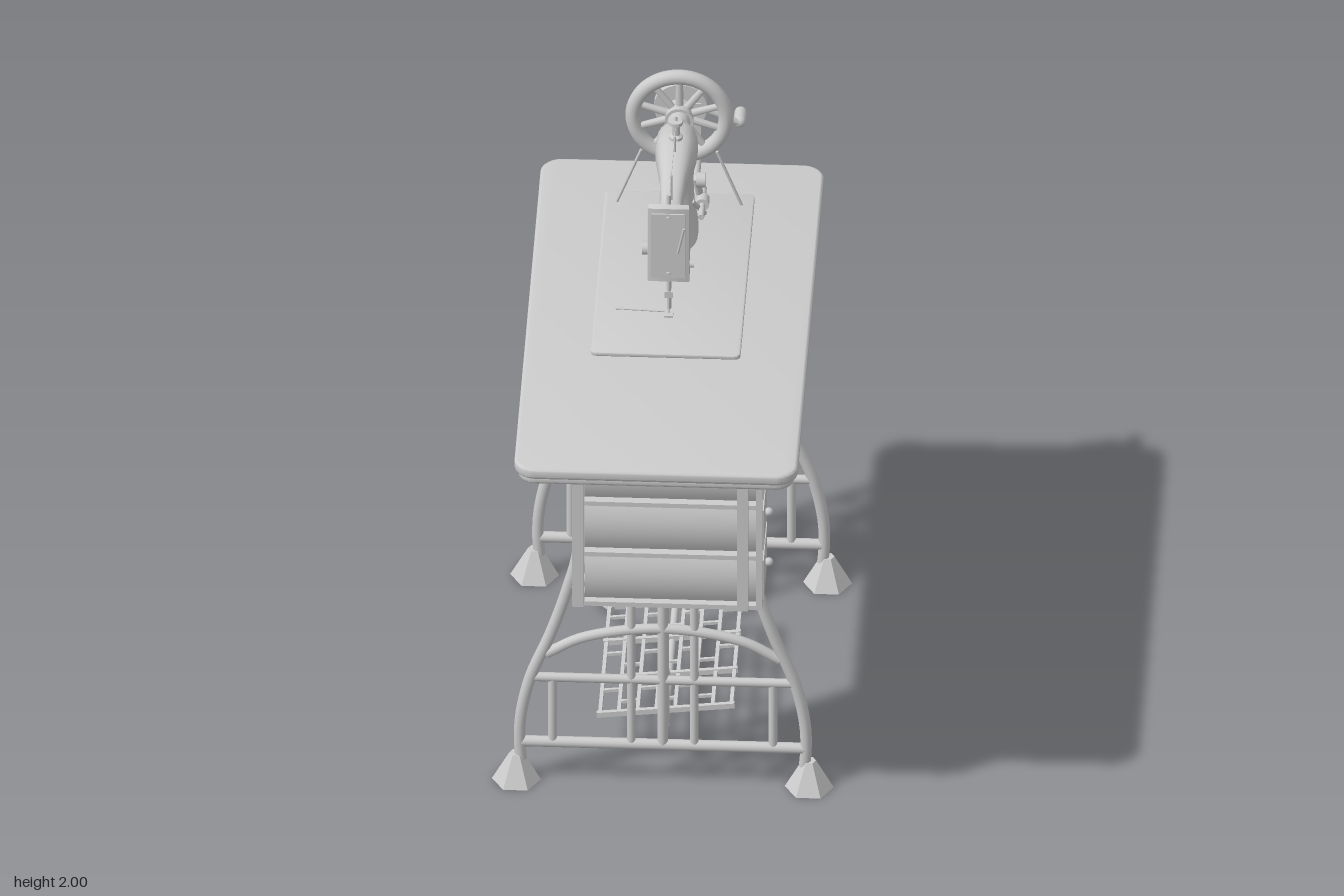
import * as THREE from 'three';
import { toCreasedNormals } from 'three/addons/utils/BufferGeometryUtils.js';

const grey = new THREE.MeshStandardMaterial({ color: 0xcccccc, side: THREE.DoubleSide });
const V = (x, y, z) => new THREE.Vector3(x, y, z);

function add(parent, name, geometry, x = 0, y = 0, z = 0) {
  const mesh = new THREE.Mesh(geometry, grey);
  mesh.name = name;
  mesh.position.set(x, y, z);
  parent.add(mesh);
  return mesh;
}
function group(parent, name, x = 0, y = 0, z = 0) {
  const g = new THREE.Group();
  g.name = name;
  g.position.set(x, y, z);
  parent.add(g);
  return g;
}
const box = (p, name, w, h, d, x, y, z) => add(p, name, new THREE.BoxGeometry(w, h, d), x, y, z);

// Straight round bar between two points, optionally tapered
function rod(p, name, a, b, r, r2 = r, sides = 12) {
  const A = V(...a), B = V(...b), dir = B.clone().sub(A);
  const m = add(p, name, new THREE.CylinderGeometry(r2, r, dir.length(), sides));
  m.position.copy(A).add(B).multiplyScalar(0.5);
  m.quaternion.setFromUnitVectors(V(0, 1, 0), dir.normalize());
  return m;
}
// Bent round bar through points
function pipe(p, name, pts, r, seg = 32) {
  const curve = new THREE.CatmullRomCurve3(pts.map(q => V(...q)), false, 'centripetal');
  return add(p, name, new THREE.TubeGeometry(curve, seg, r, 10));
}
// Flat slab with rounded corners, lying on y
function slab(p, name, w, d, h, radius, x, y, z, bevel) {
  const s = new THREE.Shape(), a = w / 2 - bevel, b = d / 2 - bevel, r = radius;
  s.moveTo(-a + r, -b);
  s.lineTo(a - r, -b).absarc(a - r, -b + r, r, -Math.PI / 2, 0);
  s.lineTo(a, b - r).absarc(a - r, b - r, r, 0, Math.PI / 2);
  s.lineTo(-a + r, b).absarc(-a + r, b - r, r, Math.PI / 2, Math.PI);
  s.lineTo(-a, -b + r).absarc(-a + r, -b + r, r, Math.PI, Math.PI * 1.5);
  const g = new THREE.ExtrudeGeometry(s, { depth: h - 2 * bevel, bevelSize: bevel, bevelThickness: bevel, bevelSegments: 3, curveSegments: 8 });
  g.rotateX(-Math.PI / 2).translate(0, bevel, 0);
  return add(p, name, toCreasedNormals(g, 0.6), x, y, z);
}
// Skin over superellipse sections; place(section, u, v) returns a point
function loft(p, name, sections, place, n = 24) {
  const pos = [], idx = [], last = sections.length - 1;
  for (const s of sections) for (let j = 0; j < n; j++) {
    const a = j / n * Math.PI * 2, c = Math.cos(a), d = Math.sin(a);
    pos.push(...place(s, Math.sign(c) * Math.abs(c) ** 0.75, Math.sign(d) * Math.abs(d) ** 0.75));
  }
  for (let k = 0; k < last; k++) for (let j = 0; j < n; j++) {
    const a = k * n + j, b = k * n + (j + 1) % n;
    idx.push(a, b, b + n, a, b + n, a + n);
  }
  for (let j = 1; j < n - 1; j++) idx.push(0, j + 1, j, last * n, last * n + j, last * n + j + 1);
  const g = new THREE.BufferGeometry();
  g.setAttribute('position', new THREE.Float32BufferAttribute(pos, 3));
  g.setIndex(idx);
  return add(p, name, toCreasedNormals(g, 0.8));
}
// Spoked wheel in the xy plane
function wheel(p, name, R, tube, spokes, hub, depth, x, y, z) {
  const g = group(p, name, x, y, z);
  add(g, 'rim', new THREE.TorusGeometry(R, tube, 12, 56));
  rod(g, 'hub', [0, 0, -depth], [0, 0, depth], hub, hub, 20);
  for (let i = 0; i < spokes; i++) {
    const a = (i + 0.5) / spokes * Math.PI * 2, c = Math.cos(a), s = Math.sin(a);
    rod(g, 'spoke', [c * hub * 0.8, s * hub * 0.8, 0], [c * R, s * R, 0], tube * 0.55, tube * 0.45, 8);
  }
  return g;
}

function trestle(root, z) {
  const g = group(root, 'trestle', 0, 0, z);
  for (const s of [-1, 1]) {
    pipe(g, 'leg', [[s * 0.265, 1.44, 0], [s * 0.265, 1.1, 0], [s * 0.27, 0.87, 0], [s * 0.305, 0.72, 0], [s * 0.355, 0.56, 0], [s * 0.42, 0.39, 0], [s * 0.45, 0.25, 0], [s * 0.455, 0.15, 0], [s * 0.45, 0.08, 0]], 0.019, 40);
    const foot = new THREE.CylinderGeometry(0.022, 0.078, 0.1, 6).toNonIndexed();
    foot.computeVertexNormals();
    foot.rotateY(Math.PI / 6 * 3);
    add(g, 'foot', foot, s * 0.465, 0.05, 0);
    rod(g, 'upright', [s * 0.1, 0.15, 0], [s * 0.1, 1.44, 0], 0.014);
    rod(g, 'shortUpright', [s * 0.35, 0.15, 0], [s * 0.35, 0.39, 0], 0.014);
  }
  rod(g, 'centrePost', [0, 0.14, 0], [0, 0.83, 0], 0.017);
  rod(g, 'bottomRail', [-0.45, 0.145, 0], [0.45, 0.145, 0], 0.018);
  rod(g, 'middleRail', [-0.42, 0.39, 0], [0.42, 0.39, 0], 0.015);
  for (const y of [1.295, 1.02]) rod(g, 'upperRail', [-0.265, y, 0], [0.265, y, 0], 0.014);
  pipe(g, 'lowerArch', [[-0.37, 0.48, 0], [-0.25, 0.545, 0], [0, 0.585, 0], [0.25, 0.545, 0], [0.37, 0.48, 0]], 0.017);
  pipe(g, 'upperArch', [[-0.3, 0.74, 0], [-0.2, 0.785, 0], [0, 0.805, 0], [0.2, 0.785, 0], [0.3, 0.74, 0]], 0.017);
}

function drawers(root) {
  const g = group(root, 'drawerCabinet');
  for (const y of [0.96, 1.15, 1.342]) {
    const s = new THREE.Shape(), h = 0.084;
    s.moveTo(0.435, -h).lineTo(0.675, -h).quadraticCurveTo(0.715, 0, 0.675, h);
    s.lineTo(0.435, h).quadraticCurveTo(0.42, 0, 0.435, -h);
    const geo = new THREE.ExtrudeGeometry(s, { depth: 0.56, bevelEnabled: false, curveSegments: 10 });
    geo.translate(0, 0, -0.28).rotateY(-Math.PI / 2);
    add(g, 'drawer', toCreasedNormals(geo, 0.6), 0.045, y, 0);
    box(g, 'drawerFront', 0.012, 0.15, 0.225, 0.328, y, 0.567);
    rod(g, 'knobStem', [0.33, y, 0.57], [0.342, y, 0.57], 0.007);
    add(g, 'knob', new THREE.SphereGeometry(0.014, 14, 10), 0.345, y, 0.57);
  }
  for (const y of [0.867, 1.055, 1.247, 1.435]) box(g, 'shelf', 0.56, 0.016, 0.272, 0.045, y, 0.563);
  for (const x of [-0.255, 0.268]) for (const z of [0.698, 0.435]) box(g, 'post', 0.036, 0.58, 0.022, x, 1.15, z);
  for (const z of [0.69, 0.435]) box(g, 'cornerStrip', 0.02, 0.57, 0.016, 0.32, 1.15, z);
}

function treadle(root) {
  const g = group(root, 'treadle', 0, 0.152, -0.095);
  g.rotation.z = 0.115;
  for (let i = 0; i < 8; i++) box(g, 'slat', 0.012, 0.012, 0.62, -0.21 + i * 0.06, 0, 0);
  for (const z of [-0.31, -0.105, 0.105, 0.31]) box(g, 'crossBar', 0.44, 0.018, 0.014, 0, 0, z);
  for (let i = 0; i < 7; i++) for (const s of [-1, 0, 1])
    box(g, 'rung', 0.06, 0.01, 0.01, -0.18 + i * 0.06, 0, s * 0.21 + (i % 2 ? 0.035 : -0.035));
  rod(root, 'treadleAxle', [0, 0.14, 0.27], [0, 0.14, -0.46], 0.012);
  rod(root, 'crankPinArm', [-0.2, 0.125, -0.39], [-0.33, 0.112, -0.56], 0.01);
  rod(root, 'pitmanRod', [-0.33, 0.11, -0.56], [-0.03, 0.89, -0.56], 0.009);
}

function underframe(root) {
  const g = group(root, 'underframe');
  for (const [leg, post, low] of [[0.405, 0.315, 0.265], [-0.77, -0.52, -0.455]]) {
    const s = Math.sign(leg);
    pipe(g, 'sidePost', [[0, 1.295, leg], [0, 1.295, post + s * 0.04], [0, 1.283, post + s * 0.012], [0, 1.25, post], [0, 0.9, post], [0, 0.39, post]], 0.015, 60);
    for (const [a, b] of [[[0.39, leg], [0.385, post]], [[0.385, post], [0.325, low]], [[0.325, low], [0.13, low]]]) {
      rod(g, 'treadleHanger', [0, ...a], [0, ...b], 0.015);
      add(g, 'joint', new THREE.SphereGeometry(0.016, 12, 8), 0, ...b);
    }
  }
  for (const y of [1.205, 1.075]) rod(g, 'stretcher', [0, y, 0.315], [0, y, -0.52], 0.014);
}

function driveWheel(root) {
  wheel(root, 'driveWheel', 0.287, 0.023, 6, 0.04, 0.04, 0, 0.92, -0.67);
  rod(root, 'driveAxle', [0, 0.92, -0.52], [0, 0.92, -0.77], 0.014);
  rod(root, 'crankArm', [0, 0.93, -0.545], [-0.03, 0.87, -0.545], 0.02);
  // Curved guard wrapping the lower +x quarter of the wheel
  const guard = new THREE.CylinderGeometry(0.318, 0.318, 0.15, 32, 1, true, 0, 1.78);
  guard.rotateX(Math.PI / 2);
  const m = add(root, 'wheelGuard', guard, 0, 0.92, -0.665);
  m.rotation.z = 0;
  for (const s of [-1, 1]) rod(root, 'belt', [s * 0.295, 0.98, -0.64], [s * 0.2, 1.51, -0.637], 0.005);
  for (const s of [-1, 1]) rod(root, 'belt', [s * 0.2, 1.51, -0.637], [s * 0.12, 1.715, -0.637], 0.005);
}

function machine(root) {
  const g = group(root, 'sewingMachine');
  slab(g, 'bedPlate', 0.475, 0.935, 0.016, 0.015, 0, 1.5, -0.233, 0.004);
  // Pillar sections: y, centre z, half depth, half width
  loft(g, 'pillar', [[1.513, -0.475, 0.12, 0.07], [1.55, -0.483, 0.108, 0.066], [1.61, -0.493, 0.085, 0.056], [1.7, -0.5, 0.073, 0.052], [1.77, -0.495, 0.085, 0.058], [1.83, -0.49, 0.08, 0.055]],
    ([y, z, hz, hx], u, v) => [v * hx, y, z + u * hz]);
  // Arm sections: z, centre y, half width, half height
  loft(g, 'arm', [[-0.6, 1.79, 0.04, 0.05], [-0.575, 1.785, 0.056, 0.08], [-0.525, 1.805, 0.066, 0.09], [-0.44, 1.825, 0.066, 0.075], [-0.36, 1.835, 0.056, 0.06], [-0.27, 1.835, 0.043, 0.037], [-0.16, 1.823, 0.036, 0.033], [-0.09, 1.82, 0.043, 0.038], [-0.04, 1.815, 0.058, 0.06], [0, 1.81, 0.064, 0.08]],
    ([z, y, hx, hy], u, v) => [u * hx, y + v * hy, z]);
  const s = new THREE.Shape([[0.042, 1.67], [0.042, 1.94], [0.03, 1.945], [-0.025, 1.895], [-0.05, 1.86], [-0.05, 1.79], [-0.018, 1.74], [-0.005, 1.69], [0.03, 1.662]].map(q => new THREE.Vector2(...q)));
  const head = new THREE.ExtrudeGeometry(s, { depth: 0.122, bevelSize: 0.004, bevelThickness: 0.005, bevelSegments: 2 });
  head.translate(0, 0, -0.061).rotateY(-Math.PI / 2);
  add(g, 'head', toCreasedNormals(head, 0.6));
  box(g, 'facePlate', 0.11, 0.24, 0.006, 0, 1.805, 0.048);
  for (const y of [1.7, 1.91]) rod(g, 'faceScrew', [0, y, 0.045], [0, y, 0.057], 0.008);
  rod(g, 'takeUpLever', [0.03, 1.78, 0.052], [0.05, 1.88, 0.065], 0.004);
  rod(g, 'tensionDisc', [-0.065, 1.77, 0.01], [-0.085, 1.77, 0.01], 0.022);
  rod(g, 'tensionScrew', [0.065, 1.72, 0.02], [0.08, 1.72, 0.02], 0.012);
  // Needle, presser foot and thread
  rod(g, 'needleBar', [0, 1.6, 0.02], [0, 1.98, 0.02], 0.007);
  rod(g, 'needle', [0, 1.515, 0.02], [0, 1.6, 0.02], 0.002, 0.004);
  rod(g, 'presserBar', [0, 1.54, 0.005], [0, 1.68, 0.005], 0.007);
  box(g, 'presserFoot', 0.028, 0.007, 0.04, 0, 1.528, 0.018);
  box(g, 'needleClamp', 0.026, 0.022, 0.022, 0, 1.605, 0.018);
  rod(g, 'looseThread', [-0.17, 1.53, 0], [0, 1.53, 0.01], 0.003);
  for (const z of [-0.14, -0.36]) rod(g, 'threadGuide', [0, 1.85, z], [0, 1.95, z], 0.004);
  rod(g, 'topThread', [0, 1.945, 0.02], [0, 1.955, -0.4], 0.0012, 0.0012, 6);
  const spool = [[0, 0], [0.022, 0], [0.022, 0.012], [0.013, 0.018], [0.013, 0.05], [0.022, 0.056], [0.022, 0.068], [0.005, 0.07], [0.004, 0.085], [0, 0.085]];
  add(g, 'spool', toCreasedNormals(new THREE.LatheGeometry(spool.map(q => new THREE.Vector2(...q)), 18), 0.5), 0, 1.895, -0.432);
  // Bobbin winder on the pillar
  rod(g, 'winderArm', [0.06, 1.69, -0.52], [0.078, 1.56, -0.56], 0.012);
  rod(g, 'winderWheel', [0.06, 1.68, -0.525], [0.09, 1.68, -0.525], 0.024, 0.024, 18);
  rod(g, 'winderSpindle', [0.08, 1.6, -0.43], [0.08, 1.6, -0.6], 0.01);
  rod(g, 'bobbin', [0.08, 1.6, -0.5], [0.08, 1.6, -0.54], 0.022, 0.022, 18);
  rod(g, 'winderLatch', [0.05, 1.64, -0.46], [0.088, 1.57, -0.5], 0.008);
  // Handwheel and crank
  wheel(g, 'handWheel', 0.148, 0.024, 10, 0.045, 0.03, 0, 1.83, -0.662);
  rod(g, 'wheelShaft', [0, 1.83, -0.57], [0, 1.83, -0.77], 0.022);
  rod(g, 'wheelCollar', [0, 1.83, -0.595], [0, 1.83, -0.63], 0.036, 0.036, 20);
  rod(g, 'crankGear', [0, 1.82, -0.725], [0, 1.82, -0.755], 0.085, 0.085, 28);
  rod(g, 'crankBoss', [0.03, 1.8, -0.74], [0.03, 1.8, -0.785], 0.025, 0.025, 16);
  rod(g, 'crankArm', [0.02, 1.81, -0.772], [0.185, 1.725, -0.79], 0.013, 0.01);
  box(g, 'gearBracket', 0.03, 0.2, 0.02, 0.05, 1.74, -0.728);
  rod(g, 'bracketBar', [0.055, 1.65, -0.55], [0.055, 1.65, -0.745], 0.014);
  const grip = add(g, 'crankGrip', new THREE.CapsuleGeometry(0.02, 0.05, 6, 14), 0.185, 1.725, -0.825);
  grip.rotation.x = Math.PI / 2;
}

export function createModel() {
  const root = new THREE.Group();
  root.name = 'treadleSewingMachine';
  slab(root, 'tableUnderside', 0.875, 1.775, 0.03, 0.05, 0, 1.44, 0, 0.008);
  slab(root, 'tableTop', 0.9, 1.8, 0.038, 0.06, 0, 1.464, 0, 0.01);
  for (const z of [0.405, -0.77]) trestle(root, z);
  drawers(root);
  underframe(root);
  driveWheel(root);
  treadle(root);
  machine(root);
  return root;
}
